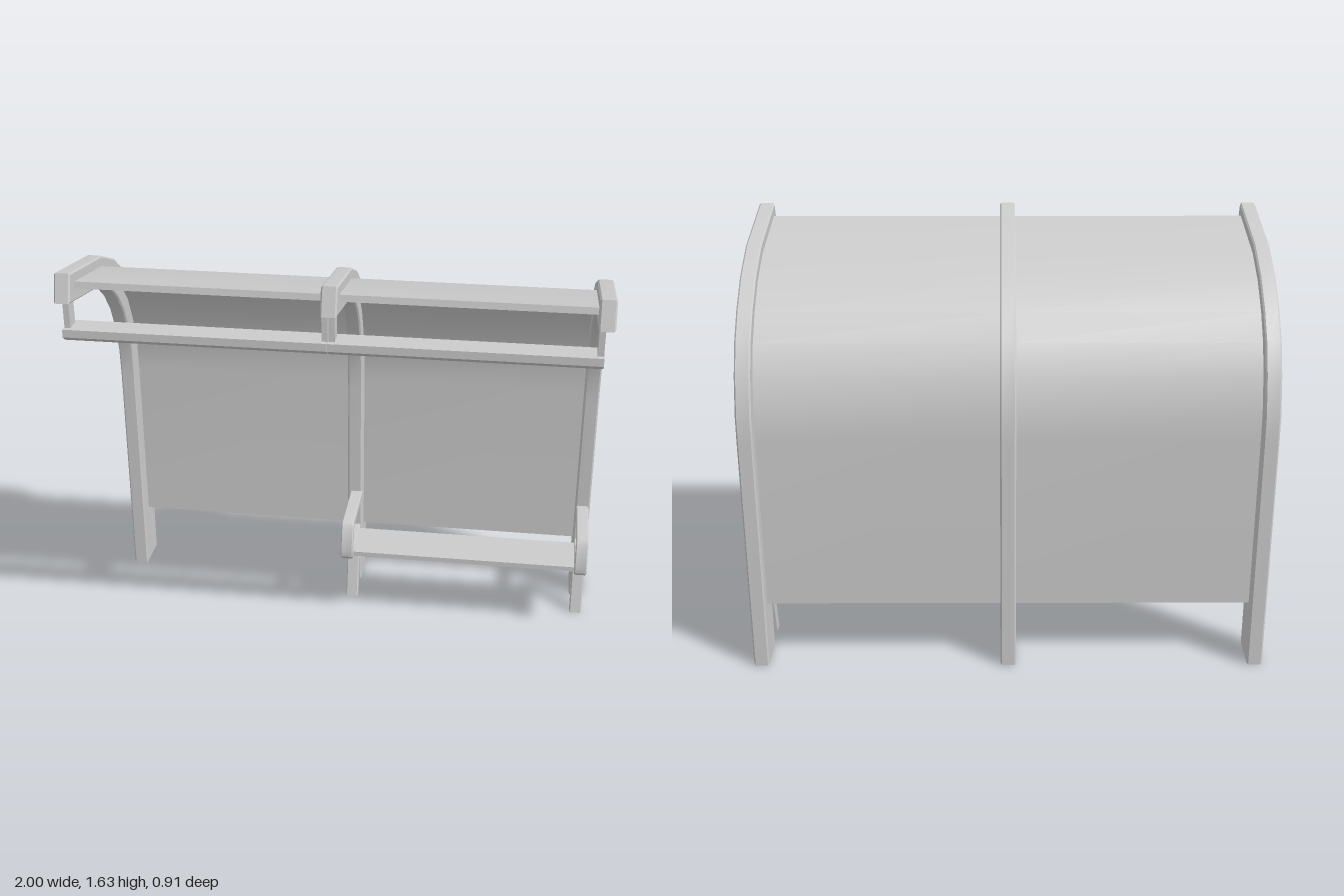
import * as THREE from 'three';
import { toCreasedNormals } from 'three/addons/utils/BufferGeometryUtils.js';

const material = new THREE.MeshStandardMaterial({ color: 0xcccccc });

// Extrudes a [z, y] outline along x, from x0 to x1, with an optional chamfer.
function extrudeX(name, outline, x0, x1, chamfer = 0) {
  const shape = new THREE.Shape(outline.map(([z, y]) => new THREE.Vector2(z, y)));
  const depth = x1 - x0 - 2 * chamfer;
  const geometry = new THREE.ExtrudeGeometry(shape, {
    depth,
    bevelEnabled: chamfer > 0,
    bevelThickness: chamfer,
    bevelSize: chamfer,
    bevelOffset: -chamfer,
    bevelSegments: 1,
  });
  geometry.translate(0, 0, -depth / 2);
  geometry.rotateY(-Math.PI / 2);
  geometry.translate((x0 + x1) / 2, 0, 0);
  const mesh = new THREE.Mesh(toCreasedNormals(geometry, 0.5), material);
  mesh.name = name;
  return mesh;
}

// Curved part of the ribs: paired outer and inner points, from back to front.
const bend = [
  [[-0.455, 0.95], [-0.295, 0.92]],
  [[-0.45, 1.06], [-0.288, 1.04]],
  [[-0.41, 1.2], [-0.255, 1.155]],
  [[-0.35, 1.315], [-0.21, 1.25]],
  [[-0.26, 1.41], [-0.14, 1.335]],
  [[-0.135, 1.5], [-0.045, 1.41]],
  [[0.03, 1.57], [0.07, 1.46]],
];

// Closed outline between two fractions of the way from outer to inner edge.
function band(stations, from, to) {
  const at = (t) => stations.map(([a, b]) => [a[0] + (b[0] - a[0]) * t, a[1] + (b[1] - a[1]) * t]);
  return [...at(from), ...at(to).reverse()];
}

export function createModel() {
  const shelter = new THREE.Group();
  shelter.name = 'shelter';

  // Three curved ribs standing on the ground
  const ribOutline = band(
    [[[-0.455, 0], [-0.295, 0]], ...bend, [[0.412, 1.635], [0.446, 1.53]]], 0, 1);
  for (const x of [-0.97, 0, 0.97]) {
    shelter.add(extrudeX('rib', ribOutline, x - 0.03, x + 0.03, 0.006));
  }

  // Back wall and roof in one bent panel per bay
  const panelOutline = band(
    [[[-0.455, 0.25], [-0.295, 0.25]], ...bend, [[0.365, 1.627], [0.388, 1.52]]], 0.34, 0.57);
  for (const side of [-1, 1]) {
    const ends = [side * 0.01, side * 0.96].sort((a, b) => a - b);
    shelter.add(extrudeX('panel', panelOutline, ...ends));
  }

  // Light rail under the roof's front edge, one length per bay
  const railOutline = [
    [0.358, 1.435], [0.358, 1.405], [0.378, 1.388], [0.438, 1.388], [0.458, 1.405], [0.458, 1.435],
  ];
  shelter.add(extrudeX('lightRail', railOutline, -0.972, -0.004));
  shelter.add(extrudeX('lightRail', railOutline, -0.002, 0.968));

  // Hangers joining the rail to the ribs
  const hangerOutline = [[0.38, 1.43], [0.438, 1.43], [0.438, 1.545], [0.38, 1.555]];
  for (const x of [-0.958, -0.014, 0.012, 0.956]) {
    shelter.add(extrudeX('railHanger', hangerOutline, x - 0.011, x + 0.011));
  }

  // Bench in the bay on the +x side
  const bench = new THREE.Group();
  bench.name = 'bench';
  const frameOutline = [
    [-0.31, 0.44], [-0.04, 0.44], [-0.02, 0.434], [-0.006, 0.415], // armrest
    [0.02, 0.325], [0.018, 0.298], [0, 0.28], // front bend
    [-0.205, 0.279], [-0.215, 0.268], [-0.15, 0], [-0.19, 0], // leg
    [-0.255, 0.277], [-0.254, 0.297], [-0.24, 0.311], // rear bend
    [-0.012, 0.313], [-0.036, 0.404], [-0.043, 0.41], [-0.31, 0.41],
  ];
  for (const x of [0.007, 0.968]) {
    bench.add(extrudeX('benchFrame', frameOutline, x - 0.025, x + 0.025, 0.004));
  }
  const seat = new THREE.Mesh(new THREE.BoxGeometry(0.95, 0.02, 0.2), material);
  seat.name = 'seat';
  seat.position.set(0.4875, 0.295, -0.115);
  bench.add(seat);
  shelter.add(bench);

  return shelter;
}
